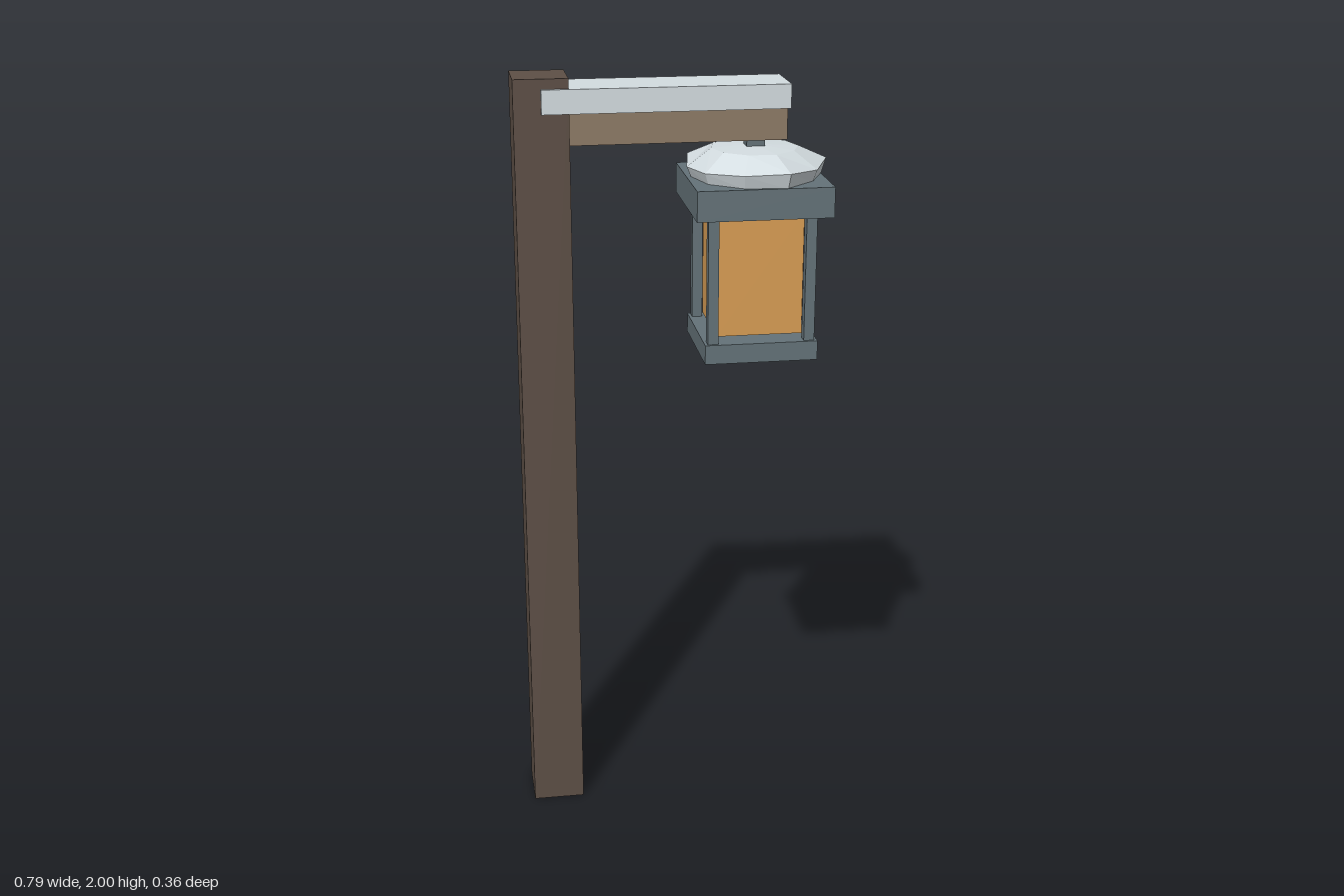
import * as THREE from 'three';

const material = (name, color) => {
  const m = new THREE.MeshStandardMaterial({ color, flatShading: true });
  m.name = name;
  return m;
};

export function createModel() {
  const darkWood = material('dark wood', 0x5d4f46);
  const lightWood = material('light wood', 0x8d7a65);
  const snow = material('snow', 0xd3dce0);
  const metal = material('blue grey metal', 0x647278);
  const amber = material('amber glass', 0xd89d54);

  const model = new THREE.Group();
  model.name = 'lampPost';

  // Box given by its x, y and z ranges
  const box = (parent, name, mat, [x0, x1], [y0, y1], [z0, z1]) => {
    const mesh = new THREE.Mesh(new THREE.BoxGeometry(x1 - x0, y1 - y0, z1 - z0), mat);
    mesh.position.set((x0 + x1) / 2, (y0 + y1) / 2, (z0 + z1) / 2);
    mesh.name = name;
    parent.add(mesh);
  };
  const around = (half, centre = 0) => [centre - half, centre + half];

  // Post, arm and the snow lying on the arm
  box(model, 'post', darkWood, [-0.398, -0.262], [0, 2], around(0.068));
  box(model, 'arm', lightWood, [-0.3, 0.28], [1.835, 1.917], around(0.06));
  box(model, 'armSnow', snow, [-0.33, 0.285], [1.915, 1.975], around(0.077));

  // Hanging lantern, centred under the end of the arm
  const lantern = new THREE.Group();
  lantern.name = 'lantern';
  lantern.position.x = 0.208;
  model.add(lantern);

  box(lantern, 'hanger', metal, around(0.023), [1.73, 1.84], around(0.023));
  box(lantern, 'roof', metal, around(0.172), [1.66, 1.737], around(0.172));
  box(lantern, 'base', metal, around(0.145), [1.285, 1.335], around(0.145));
  box(lantern, 'glass', amber, around(0.11), [1.347, 1.662], around(0.11));
  for (const x of [-0.124, 0.124])
    for (const z of [-0.124, 0.124])
      box(lantern, 'cornerBar', metal, around(0.0135, x), [1.33, 1.665], around(0.0135, z));

  // Ten-sided snow cap with an uneven rim
  const profile = [[0, 1.735], [0.168, 1.735], [0.18, 1.77], [0.112, 1.808], [0, 1.815]]
    .map(([r, y]) => new THREE.Vector2(r, y));
  const cap = new THREE.LatheGeometry(profile, 10, Math.PI / 2);
  const rim = [1.04, 0.97, 1.05, 0.99, 0.97, 0.95, 1.05, 0.96, 1.07, 1.07];
  const lift = [0.005, -0.004, 0.004, 0, -0.005, -0.008, 0.004, 0.006, -0.003, 0.004];
  const p = cap.attributes.position;
  for (let i = 0; i < p.count; i++) {
    const r = Math.hypot(p.getX(i), p.getZ(i));
    if (r < 0.01) continue;
    const k = (Math.round(Math.atan2(p.getZ(i), p.getX(i)) / (Math.PI / 5)) + 10) % 10;
    const f = r > 0.15 ? rim[k] : (1 + rim[k]) / 2;
    const dy = r > 0.175 ? lift[k] : 0;
    p.setXYZ(i, p.getX(i) * f, p.getY(i) + dy, p.getZ(i) * f);
  }
  cap.computeVertexNormals();
  const capMesh = new THREE.Mesh(cap, snow);
  capMesh.name = 'roofSnow';
  lantern.add(capMesh);

  return model;
}
